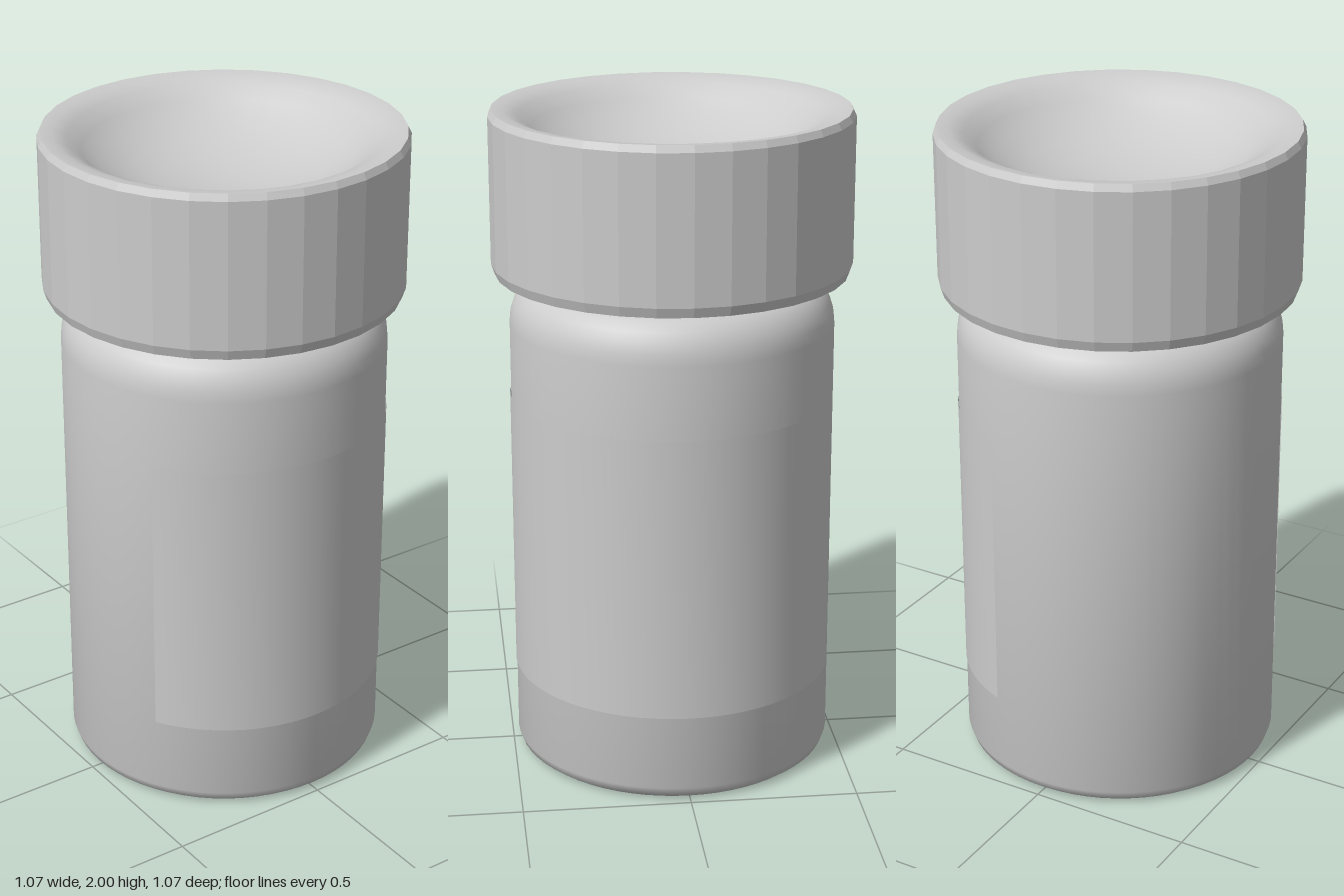
import * as THREE from 'three';
import { toCreasedNormals } from 'three/addons/utils/BufferGeometryUtils.js';

const SIDES = 32;

// Turned surface; edges sharper than the crease angle stay hard
function turned(points, crease, sides = SIDES, start = 0, sweep = Math.PI * 2) {
  const profile = points.map(([r, y]) => new THREE.Vector2(r, y));
  return toCreasedNormals(new THREE.LatheGeometry(profile, sides, start, sweep), crease);
}

export function createModel() {
  const group = new THREE.Group();
  const grey = new THREE.MeshStandardMaterial({ color: 0xcccccc, side: THREE.DoubleSide });
  grey.name = 'lightGrey';

  const add = (name, geometry) => {
    const mesh = new THREE.Mesh(geometry, grey);
    mesh.name = name;
    group.add(mesh);
  };

  // Bottle with chamfered foot and rounded shoulder
  const body = [[0, 0.005], [0.455, 0.005], [0.475, 0.02], [0.484, 0.045], [0.484, 1.36]];
  for (let i = 1; i <= 6; i++) {
    const a = (i / 6) * Math.PI / 2;
    body.push([0.384 + 0.1 * Math.cos(a), 1.36 + 0.13 * Math.sin(a)]);
  }
  add('bottleBody', turned(body, 0.7, 64));

  // Neck reaching up into the cap
  add('neck', turned([[0.384, 1.48], [0.384, 1.74], [0, 1.74]], 0.7, 64));

  // Wrapped label, open at the back right
  const rad = THREE.MathUtils.degToRad;
  add('label', turned([[0.487, 0.275], [0.487, 1.14]], 0.7, 40, rad(-60), rad(220)));

  // Faceted hollow cap: ceiling, inner wall, rim, outer wall, top bevel
  add('cap', turned([
    [0, 1.75], [0.505, 1.75], [0.505, 1.515], [0.525, 1.515],
    [0.535, 1.545], [0.535, 1.98], [0.525, 2],
  ], 0.05));

  // Smooth dished top
  add('capTop', turned([
    [0.525, 2], [0.49, 1.996], [0.45, 1.98], [0.41, 1.945], [0.36, 1.908],
    [0.28, 1.868], [0.2, 1.843], [0.1, 1.825], [0, 1.82],
  ], 0.7));

  return group;
}
